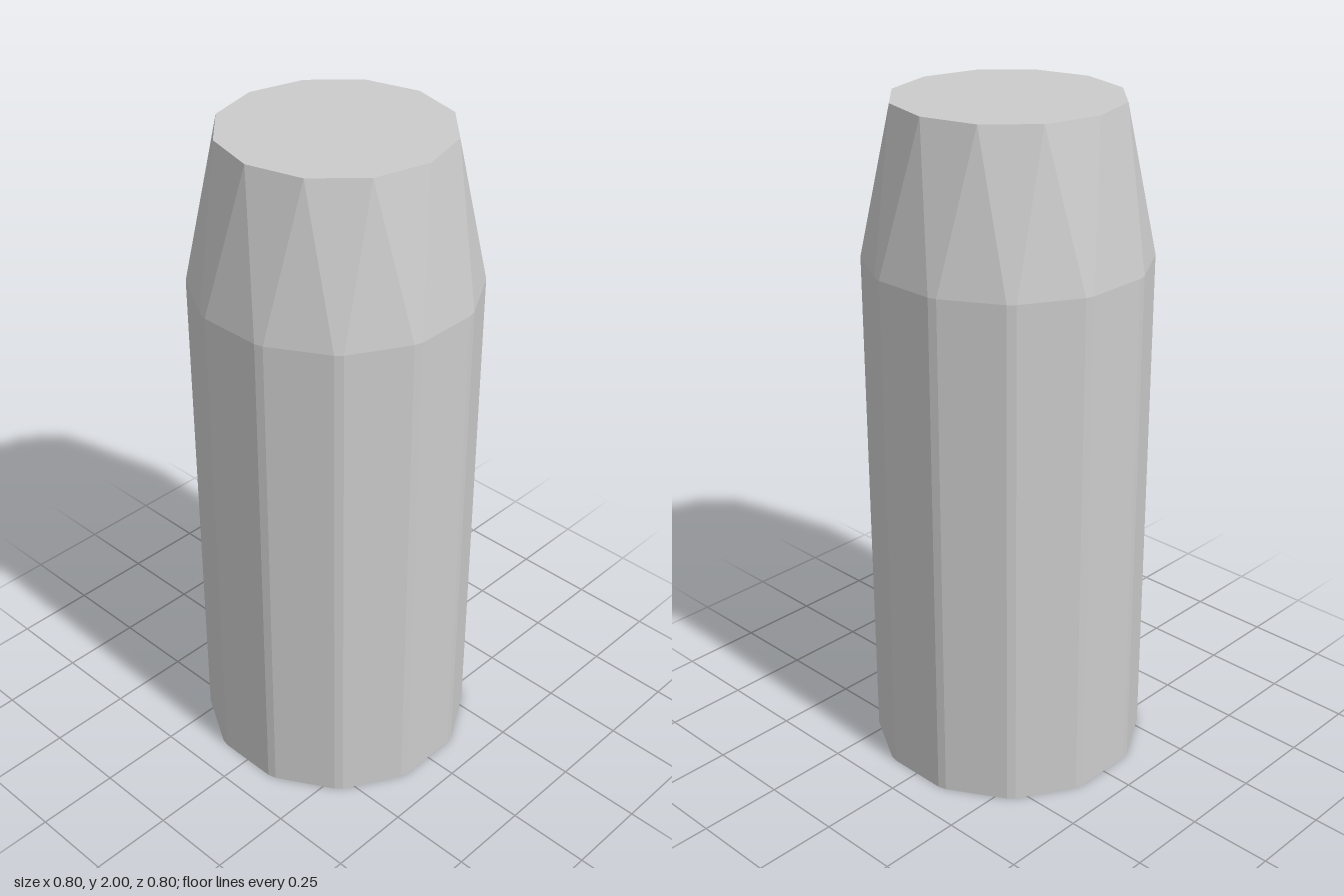
import * as THREE from 'three';

const SIDES = 12;
const STEP = (Math.PI * 2) / SIDES;
const HALF_FLAT = THREE.MathUtils.degToRad(13.2); // half the angle of a broad face
const R_BODY = 0.411, R_TOP = 0.326, R_HOLE = 0.1;
const Y_SHOULDER = 1.555, Y_TOP = 2, HOLE_DEPTH = 0.11;

export function createModel() {
  const group = new THREE.Group();
  const material = new THREE.MeshStandardMaterial({ color: 0xcccccc, flatShading: true });
  const add = (name, geometry, mat = material) => {
    const mesh = new THREE.Mesh(geometry, mat);
    mesh.name = name;
    group.add(mesh);
  };

  const at = (r, a, y) => new THREE.Vector3(r * Math.sin(a), y, r * Math.cos(a));
  const fromTriangles = (points) => {
    const geometry = new THREE.BufferGeometry().setFromPoints(points);
    geometry.computeVertexNormals();
    return geometry;
  };

  // Walls: broad faces with narrow bevels; each broad face narrows to one corner of the top
  const wall = [], taper = [], outline = [];
  for (let i = 0; i < SIDES; i++) {
    const a = i * STEP;
    const angles = [a - HALF_FLAT, a + HALF_FLAT, a + STEP - HALF_FLAT];
    const [b0, b1, b2] = angles.map((t) => at(R_BODY, t, 0));
    const [s0, s1, s2] = angles.map((t) => at(R_BODY, t, Y_SHOULDER));
    const t0 = at(R_TOP, a, Y_TOP), t1 = at(R_TOP, a + STEP, Y_TOP);
    wall.push(b0, b1, s1, b0, s1, s0, b1, b2, s2, b1, s2, s1);
    taper.push(s0, s1, t0, s1, s2, t1, s1, t1, t0);
    outline.push(new THREE.Vector2(b0.x, b0.z), new THREE.Vector2(b1.x, b1.z));
  }
  add('bodyWall', fromTriangles(wall));
  add('taperedShoulder', fromTriangles(taper));

  // Flat top
  add('topFace', new THREE.CircleGeometry(R_TOP, SIDES).rotateX(-Math.PI / 2).translate(0, Y_TOP, 0));

  // Base with a round socket
  const base = new THREE.Shape(outline);
  const rim = [];
  for (let i = 0; i < SIDES; i++) {
    const p = at(R_HOLE, i * STEP, 0);
    rim.push(new THREE.Vector2(p.x, p.z));
  }
  base.holes.push(new THREE.Path(rim));
  add('baseFace', new THREE.ShapeGeometry(base).rotateX(Math.PI / 2));

  const inner = material.clone();
  inner.side = THREE.BackSide;
  add('socketWall', new THREE.CylinderGeometry(R_HOLE, R_HOLE, HOLE_DEPTH, SIDES, 1, true)
    .translate(0, HOLE_DEPTH / 2, 0), inner);
  add('socketEnd', new THREE.CircleGeometry(R_HOLE, SIDES).rotateX(Math.PI / 2).translate(0, HOLE_DEPTH, 0));

  return group;
}
